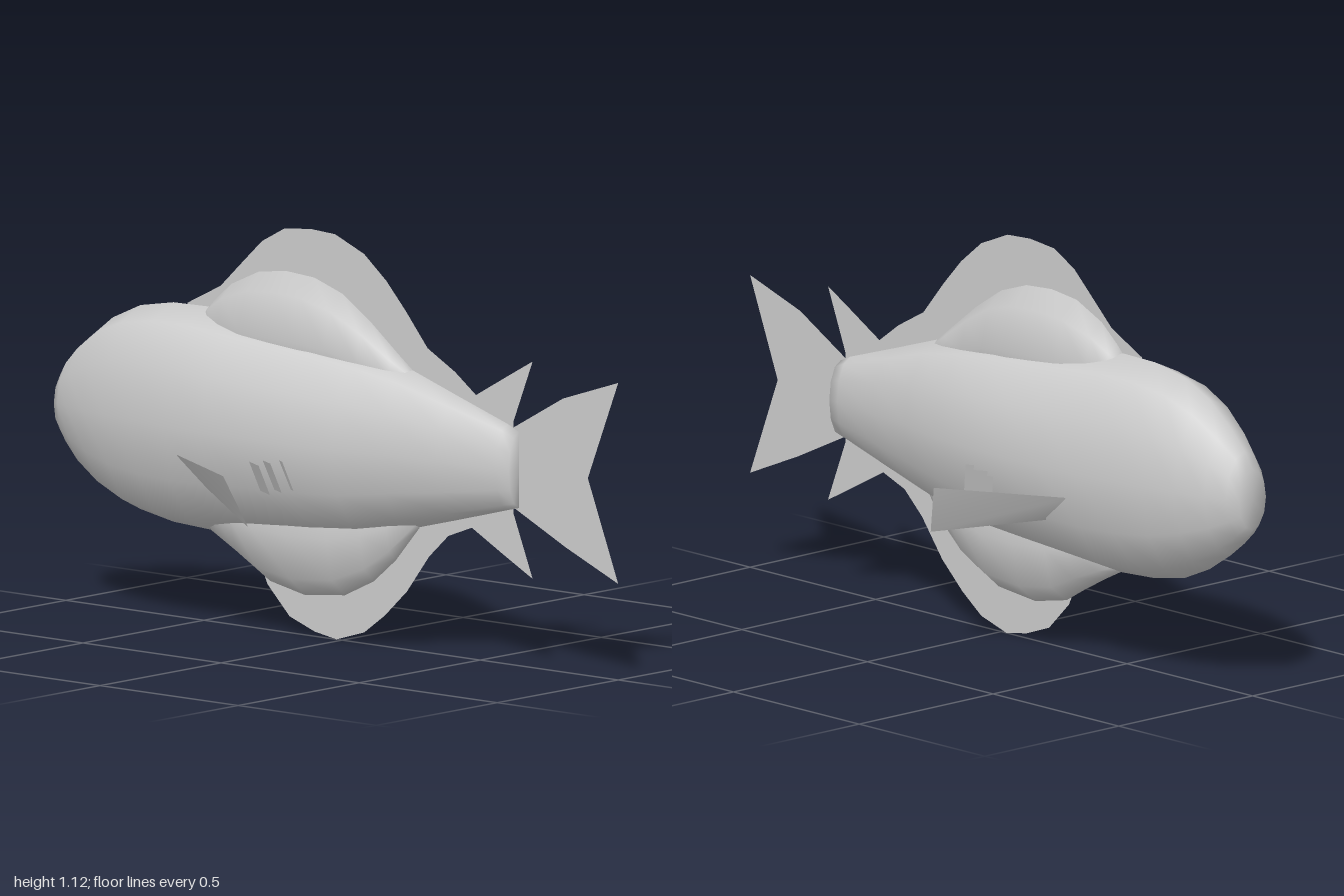
import * as THREE from 'three';

const grey = new THREE.MeshStandardMaterial({ color: 0xcccccc });
grey.name = 'grey';
const finGrey = new THREE.MeshStandardMaterial({ color: 0xcccccc, side: THREE.DoubleSide });
finGrey.name = 'fin grey';

// Closed smooth loft through elliptical rings [z, halfWidth, top, bottom], z rising
function loft(rings, sides) {
  const pos = [], index = [];
  for (const [z, w, top, bottom] of rings) {
    const c = (top + bottom) / 2, h = (top - bottom) / 2;
    for (let j = 0; j < sides; j++) {
      const a = (j / sides) * Math.PI * 2;
      pos.push(w * Math.sin(a), c + h * Math.cos(a), z);
    }
  }
  const last = rings.length - 1;
  for (const [z, , top, bottom] of [rings[0], rings[last]]) pos.push(0, (top + bottom) / 2, z);
  const head = rings.length * sides, tail = head + 1;
  for (let j = 0; j < sides; j++) {
    const k = (j + 1) % sides;
    for (let i = 0; i < last; i++) {
      const a = i * sides, b = a + sides;
      index.push(a + j, b + j, a + k, a + k, b + j, b + k);
    }
    index.push(head, j, k, tail, last * sides + k, last * sides + j);
  }
  const g = new THREE.BufferGeometry();
  g.setAttribute('position', new THREE.Float32BufferAttribute(pos, 3));
  g.setIndex(index);
  g.computeVertexNormals();
  return g;
}

// Flat fin on the centre plane from [z, y] corners
function flatFin(points) {
  const shape = new THREE.Shape(points.map(([z, y]) => new THREE.Vector2(z, y)));
  return new THREE.ShapeGeometry(shape).rotateY(-Math.PI / 2);
}

// Flat four-cornered fin in space
function quad(corners, side) {
  const g = new THREE.BufferGeometry();
  const pos = corners.flatMap(([x, y, z]) => [x * side, y, z]);
  g.setAttribute('position', new THREE.Float32BufferAttribute(pos, 3));
  g.setIndex(side > 0 ? [0, 1, 2, 0, 2, 3] : [0, 2, 1, 0, 3, 2]);
  g.computeVertexNormals();
  return g;
}

export function createModel() {
  const model = new THREE.Group();
  model.name = 'fish';
  const add = (name, geometry, material) => {
    const mesh = new THREE.Mesh(geometry, material);
    mesh.name = name;
    model.add(mesh);
  };

  // Body, blunt head at -z and narrow tail root at +z
  add('body', loft([
    [-1, 0.05, 0.635, 0.465], [-0.97, 0.07, 0.68, 0.43], [-0.915, 0.1, 0.735, 0.38],
    [-0.83, 0.132, 0.8, 0.325], [-0.73, 0.157, 0.845, 0.282], [-0.61, 0.175, 0.866, 0.26],
    [-0.48, 0.187, 0.868, 0.253], [-0.34, 0.193, 0.855, 0.265], [-0.2, 0.191, 0.843, 0.275],
    [-0.05, 0.18, 0.829, 0.285], [0.1, 0.156, 0.807, 0.3], [0.25, 0.125, 0.775, 0.335],
    [0.42, 0.088, 0.72, 0.378], [0.6, 0.05, 0.663, 0.425], [0.64, 0.042, 0.645, 0.435],
  ], 12), grey);

  // Swellings along the back and belly
  add('backHump', loft([
    [-0.49, 0.02, 0.86, 0.75], [-0.46, 0.045, 0.89, 0.73], [-0.4, 0.063, 0.94, 0.7],
    [-0.3, 0.08, 0.985, 0.66], [-0.2, 0.085, 0.997, 0.65], [-0.1, 0.084, 0.99, 0.65],
    [0, 0.074, 0.957, 0.66], [0.1, 0.058, 0.893, 0.67], [0.2, 0.04, 0.815, 0.68],
    [0.26, 0.022, 0.77, 0.69],
  ], 8), grey);
  add('bellyHump', loft([
    [-0.48, 0.02, 0.37, 0.255], [-0.42, 0.055, 0.4, 0.225], [-0.34, 0.075, 0.43, 0.182],
    [-0.26, 0.084, 0.45, 0.135], [-0.135, 0.086, 0.46, 0.11], [0.01, 0.077, 0.45, 0.125],
    [0.115, 0.06, 0.44, 0.175], [0.195, 0.043, 0.43, 0.242], [0.28, 0.022, 0.42, 0.34],
  ], 8), grey);

  // Upright fins on the centre plane
  add('backFin', flatFin([
    [0.62, 0.6], [0.62, 0.67], [0.69, 0.845], [0.6, 0.795], [0.485, 0.73], [0.41, 0.785],
    [0.31, 0.84], [0.23, 0.935], [0.16, 1.01], [0.08, 1.075], [-0.025, 1.118],
    [-0.115, 1.123], [-0.21, 1.113], [-0.29, 1.07], [-0.36, 1.005], [-0.44, 0.93],
    [-0.56, 0.87], [-0.56, 0.7],
  ]), finGrey);
  add('bellyFin', flatFin([
    [0.62, 0.5], [0.62, 0.42], [0.69, 0.245], [0.585, 0.3], [0.47, 0.362], [0.385, 0.33],
    [0.315, 0.265], [0.235, 0.16], [0.155, 0.085], [0.08, 0.03], [-0.02, 0],
    [-0.1, 0.013], [-0.19, 0.045], [-0.27, 0.125], [-0.35, 0.3], [-0.3, 0.42],
  ]), finGrey);
  add('tailFin', flatFin([
    [0.62, 0.655], [0.8, 0.755], [1, 0.82], [0.89, 0.545], [1, 0.265], [0.81, 0.345],
    [0.62, 0.435],
  ]), finGrey);

  // Swept side fins and three small gill flaps on each side
  for (const [side, word] of [[1, 'left'], [-1, 'right']]) {
    add(word + 'SideFin', quad([
      [0.17, 0.485, -0.455], [0.16, 0.405, -0.355], [0.32, 0.345, -0.06], [0.36, 0.485, -0.115],
    ], side), finGrey);
    for (let i = 0; i < 3; i++) {
      const z = -0.055 - i * 0.025, x = 0.185 + i * 0.02, y = 0.51 - i * 0.006;
      add(word + 'GillFlap' + (i + 1), quad([
        [x - 0.035, y, z - 0.065], [x - 0.053, y - 0.08, z - 0.04],
        [x - 0.018, y - 0.08, z + 0.025], [x, y, z],
      ], side), finGrey);
    }
  }
  return model;
}
